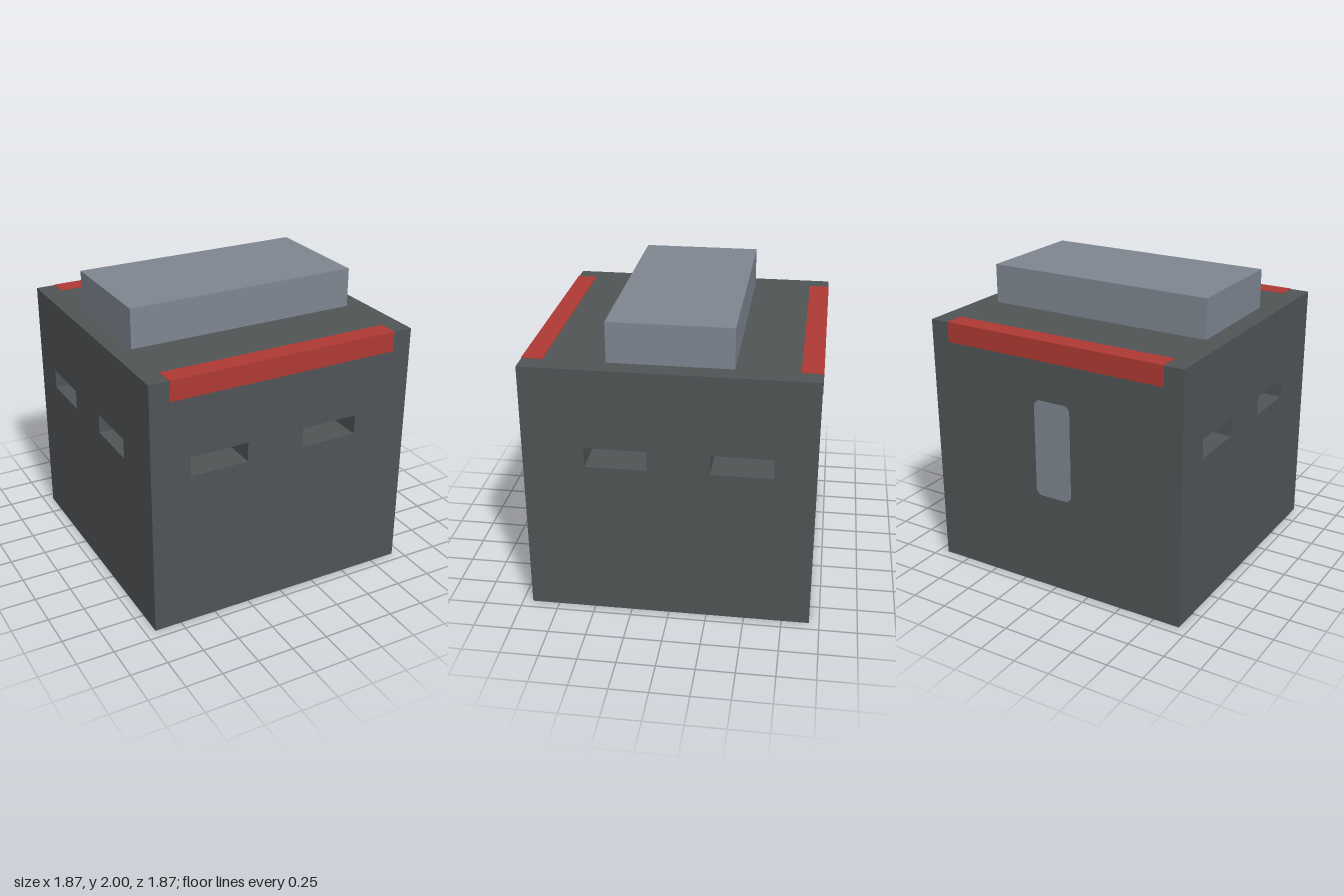
import * as THREE from 'three';
import { RoundedBoxGeometry } from 'three/addons/geometries/RoundedBoxGeometry.js';

const U = 2 / 15;            // module the whole building is laid out on
const LIFT = 0.003;          // how far painted parts stand proud

const paint = (name, color) => {
  const m = new THREE.MeshStandardMaterial({ color });
  m.name = name;
  return m;
};

export function createModel() {
  const group = new THREE.Group();
  const concrete = paint('dark concrete', 0x505456);
  const steel = paint('blue grey steel', 0x7e8691);
  const red = paint('warning red', 0xb03a34);
  const green = paint('green', 0x56bf80);

  const add = (name, geometry, material) => {
    const mesh = new THREE.Mesh(geometry, material);
    mesh.name = name;
    group.add(mesh);
    return mesh;
  };

  // Box given by its limits in modules
  const box = (name, material, [x0, x1], [y0, y1], [z0, z1], round = 0) => {
    const size = [(x1 - x0) * U, (y1 - y0) * U, (z1 - z0) * U];
    const geometry = round
      ? new RoundedBoxGeometry(...size, 1, round)
      : new THREE.BoxGeometry(...size);
    const mesh = add(name, geometry, material);
    mesh.position.set((x0 + x1) * U / 2, (y0 + y1) * U / 2, (z0 + z1) * U / 2);
    return mesh;
  };

  // Thick wall, two modules deep, pierced by viewing slits
  const outline = (path, x0, x1, y0, y1) => {
    path.moveTo(x0 * U, y0 * U);
    path.lineTo(x1 * U, y0 * U);
    path.lineTo(x1 * U, y1 * U);
    path.lineTo(x0 * U, y1 * U);
    path.closePath();
    return path;
  };
  const wall = (name, x0, x1, slits) => {
    const shape = outline(new THREE.Shape(), x0, x1, 0, 13);
    for (const [a, b] of slits) shape.holes.push(outline(new THREE.Path(), a, b, 8, 9));
    return add(name, new THREE.ExtrudeGeometry(shape, { depth: 2 * U, bevelEnabled: false }), concrete);
  };

  // Walls
  wall('frontWall', -7, 5, [[-5, -2], [1, 4]]).position.z = 5 * U;
  const sideSlits = [[-4, -1], [2, 5]];
  const leftWall = wall('leftWall', -7, 7, sideSlits);
  leftWall.rotation.y = Math.PI / 2;
  leftWall.position.x = 5 * U;
  const rightWall = wall('rightWall', -5, 7, sideSlits);
  rightWall.rotation.y = Math.PI / 2;
  rightWall.position.x = -7 * U;
  box('backWall', concrete, [-5, 5], [0, 13], [-7, -5]);

  // Roof, raised roof block and inner floor
  box('roof', concrete, [-5, 5], [11, 13], [-5, 5]);
  box('roofBlock', steel, [-6, 6], [13, 15], [-3, 3]);
  box('innerFloor', steel, [-5, 5], [4, 5], [-5, 5]);

  // Red strips wrapping the front and back roof edges
  const e = LIFT / U;
  box('frontStrip', red, [-6, 6], [12, 13 + e], [6, 7 + e]);
  box('backStrip', red, [-6, 6], [12, 13 + e], [-7 - e, -6]);

  // Door plate on the back, with clipped corners
  const c = 0.22;
  const door = new THREE.Shape([
    [-1 + c, 5], [1 - c, 5], [1, 5 + c], [1, 10 - c],
    [1 - c, 10], [-1 + c, 10], [-1, 10 - c], [-1, 5 + c],
  ].map(([x, y]) => new THREE.Vector2(x * U, y * U)));
  const plate = add('backDoor', new THREE.ExtrudeGeometry(door, { depth: LIFT, bevelEnabled: false }), steel);
  plate.position.z = -7 * U - LIFT;

  // Green unit inside, level with the slits
  box('innerUnit', green, [-5, -2], [8, 9], [1, 4], 0.012);

  return group;
}
